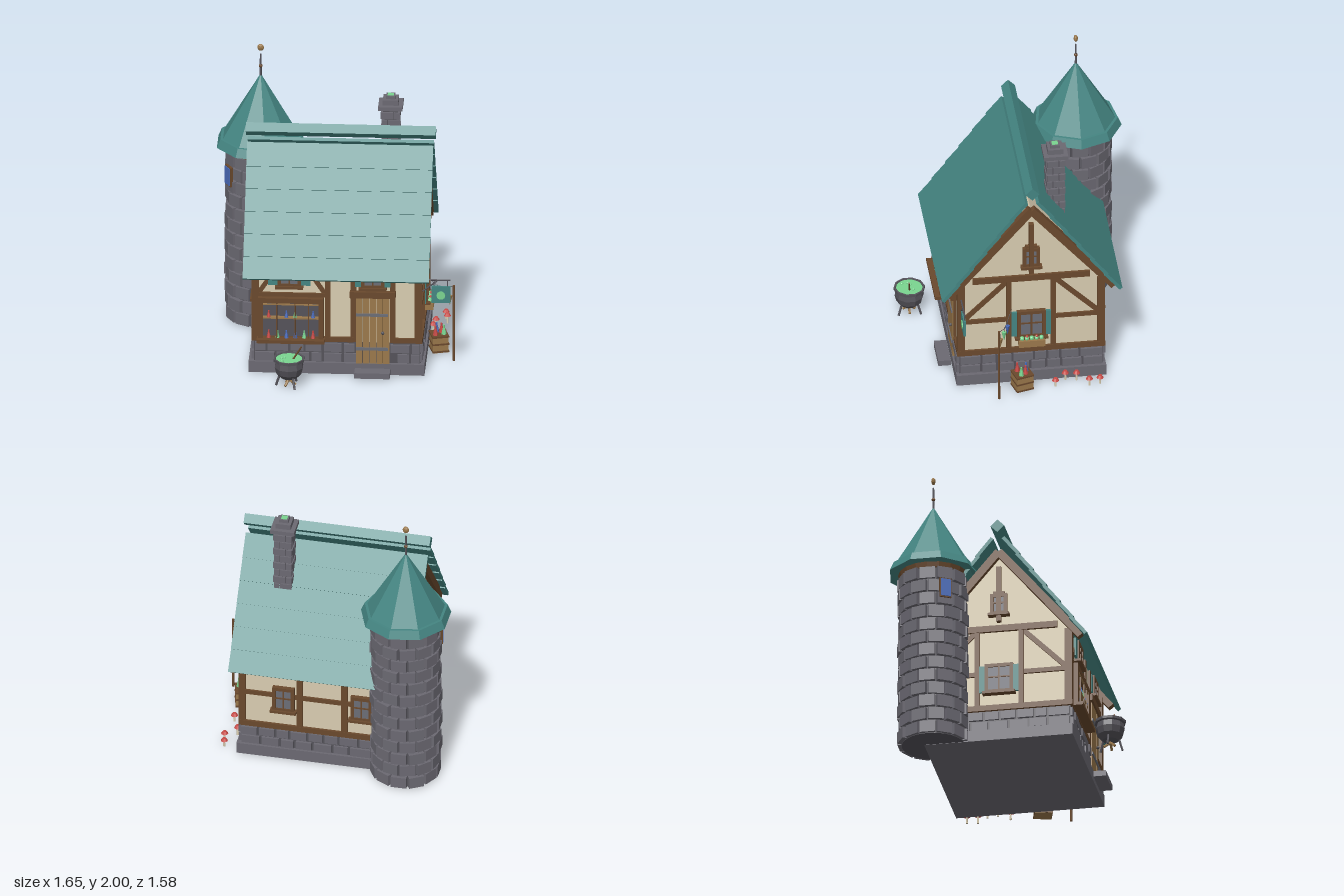
import * as THREE from 'three';

const mat = (name, color) => { const m = new THREE.MeshStandardMaterial({ color }); m.name = name; return m; };
const teal = mat('teal roof', 0x448582), timber = mat('dark timber', 0x6a492d), wood = mat('light wood', 0x9a784b),
  plaster = mat('cream plaster', 0xd8ccb0), stone = mat('stone', 0x6b6972), dark = mat('dark stone and iron', 0x545259),
  red = mat('red', 0xc84a46), green = mat('glowing green', 0x7ad490), blue = mat('blue glass', 0x4a6cbc), glass = mat('window glass', 0x6b6d76);

let seed = 7;
const rnd = () => (seed = (seed * 16807) % 2147483647) / 2147483647;

function add(parent, name, geo, m, x = 0, y = 0, z = 0) {
  const mesh = new THREE.Mesh(geo, m);
  mesh.name = name;
  mesh.position.set(x, y, z);
  parent.add(mesh);
  return mesh;
}
function group(parent, name, x = 0, y = 0, z = 0, ry = 0) {
  const g = new THREE.Group();
  g.name = name;
  g.position.set(x, y, z);
  g.rotation.y = ry;
  parent.add(g);
  return g;
}
function flat(geo) {
  const g = geo.index ? geo.toNonIndexed() : geo;
  g.computeVertexNormals();
  return g;
}
const box = (p, name, m, w, h, d, x, y, z) => add(p, name, new THREE.BoxGeometry(w, h, d), m, x, y, z);
const cyl = (p, name, m, rt, rb, h, n, x, y, z) =>
  add(p, name, flat(new THREE.CylinderGeometry(rt, rb, h, n, 1, false, Math.PI / 2)), m, x, y, z);
const ball = (p, name, m, r, x, y, z) => add(p, name, flat(new THREE.SphereGeometry(r, 8, 6)), m, x, y, z);

// thin rod between two points
function rod(p, name, m, a, b, r, n = 6) {
  const A = new THREE.Vector3(...a), B = new THREE.Vector3(...b), d = B.clone().sub(A);
  const mesh = cyl(p, name, m, r, r, d.length(), n, 0, 0, 0);
  mesh.position.copy(A).add(B).multiplyScalar(0.5);
  mesh.quaternion.setFromUnitVectors(new THREE.Vector3(0, 1, 0), d.normalize());
}
// flat timber lying on a wall, from (x1,y1) to (x2,y2)
function beam(p, x1, y1, x2, y2, w, d = 0.03, z = 0) {
  const dx = x2 - x1, dy = y2 - y1;
  box(p, 'beam', timber, Math.hypot(dx, dy), w, d, (x1 + x2) / 2, (y1 + y2) / 2, z).rotation.z = Math.atan2(dy, dx);
}
function bottle(p, m, x, y, z, s = 1) {
  cyl(p, 'bottleBody', m, 0.006 * s, 0.013 * s, 0.034 * s, 6, x, y + 0.017 * s, z);
  cyl(p, 'bottleNeck', m, 0.005 * s, 0.005 * s, 0.016 * s, 6, x, y + 0.041 * s, z);
}
function windowUnit(p, x, y0, w, h, shutter = 0) {
  const g = group(p, 'window', x, y0 + h / 2, 0.012);
  box(g, 'glass', glass, w - 0.03, h - 0.03, 0.012, 0, 0, 0.006);
  for (const s of [-1, 1]) {
    box(g, 'frameSide', timber, 0.024, h, 0.03, s * (w / 2 - 0.012), 0, 0.004);
    box(g, 'frameRail', timber, w, 0.024, 0.03, 0, s * (h / 2 - 0.012), 0.004);
    if (shutter) box(g, 'shutter', teal, shutter, h - 0.02, 0.016, s * (w + shutter) / 2, 0, 0);
  }
  box(g, 'muntin', timber, 0.01, h, 0.012, 0, 0, 0.012);
  box(g, 'muntin', timber, w, 0.01, 0.012, 0, 0.01, 0.012);
  box(g, 'sill', timber, w + 0.03, 0.018, 0.05, 0, -h / 2, 0.01);
}
// two courses of stone along one side, optionally leaving a gap
function foundationSide(p, x0, x1, gap) {
  for (let r = 0; r < 2; r++) {
    let x = x0;
    while (x < x1 - 0.02) {
      let w = Math.min(0.085 + rnd() * 0.07, x1 - x);
      if (x1 - x - w < 0.05) w = x1 - x;
      const c = x + w / 2;
      if (!gap || c < gap[0] || c > gap[1])
        box(p, 'foundationStone', stone, w - 0.016, 0.056 + rnd() * 0.006, 0.034 + rnd() * 0.018, c, 0.117 + r * 0.073, -0.005);
      x += w;
    }
  }
}
function gable(p, name, x, ry) {
  const g = group(p, name, x, 0, -0.0325, ry);
  for (const s of [-1, 1]) {
    beam(g, s * 0.476, 0.235, s * 0.476, 0.8, 0.052);
    beam(g, s * 0.152, 0.25, s * 0.152, 0.83, 0.036);
    beam(g, s * 0.165, 0.815, s * 0.46, 0.52, 0.034, 0.024);
    beam(g, 0, 1.402, s * 0.565, 0.735, 0.055, 0.045, 0.012);
  }
  beam(g, -0.5, 0.25, 0.5, 0.25, 0.04, 0.034);
  beam(g, -0.49, 0.505, 0.49, 0.505, 0.032, 0.028);
  beam(g, -0.4, 0.838, 0.4, 0.838, 0.045, 0.036);
  beam(g, 0, 0.885, 0, 1.29, 0.032, 0.044, 0.012);
  windowUnit(g, 0, 0.935, 0.115, 0.155);
  beam(g, -0.04, 1.095, 0.04, 1.095, 0.025, 0.034, 0.01);
  windowUnit(g, 0, 0.355, 0.195, 0.215, 0.038);
  foundationSide(g, -0.49, 0.49);
  return g;
}

export function createModel() {
  const model = new THREE.Group();
  model.name = 'cottageShop';

  // plinth, foundation and plaster walls
  box(model, 'plinth', stone, 1.19, 0.08, 1.02, 0.03, 0.04, -0.0325);
  box(model, 'foundationCore', dark, 1.125, 0.16, 0.975, 0.0325, 0.155, -0.0325);
  const wall = new THREE.Shape([[-0.4875, 0.23], [0.4875, 0.23], [0.4875, 0.785], [0, 1.38], [-0.4875, 0.785]].map(a => new THREE.Vector2(...a)));
  add(model, 'walls', new THREE.ExtrudeGeometry(wall, { depth: 1.125, bevelEnabled: false }), plaster, -0.53, 0, -0.0325).rotation.y = Math.PI / 2;

  // gable ends; the right one carries a flower box
  gable(model, 'leftGable', -0.53, -Math.PI / 2);
  const right = gable(model, 'rightGable', 0.595, Math.PI / 2);
  box(right, 'flowerBox', wood, 0.18, 0.05, 0.055, 0, 0.325, 0.04);
  for (let i = -2; i <= 2; i++) {
    ball(right, 'leaves', green, 0.017, i * 0.033, 0.357, 0.04);
    if (i % 2) ball(right, 'flower', red, 0.009, i * 0.033, 0.376, 0.045);
  }

  // front wall
  const front = group(model, 'frontWall', 0, 0, 0.455);
  for (const x of [-0.52, -0.03, 0.145, 0.41, 0.585]) beam(front, x, 0.235, x, 0.79, x < -0.5 || x > 0.5 ? 0.052 : 0.038);
  beam(front, -0.545, 0.25, 0.145, 0.25, 0.034, 0.034);
  beam(front, 0.41, 0.25, 0.61, 0.25, 0.034, 0.034);
  beam(front, -0.5, 0.572, -0.03, 0.572, 0.028);
  beam(front, -0.495, 0.585, -0.4, 0.73, 0.03, 0.024);
  beam(front, -0.05, 0.585, -0.145, 0.73, 0.03, 0.024);
  windowUnit(front, -0.29, 0.635, 0.16, 0.15, 0.065);
  windowUnit(front, 0.275, 0.635, 0.16, 0.15, 0.04);
  foundationSide(front, -0.53, 0.6, [0.15, 0.4]);

  // plank door with straps
  const door = group(front, 'door', 0.275, 0, 0);
  for (let i = -2; i <= 2; i++) box(door, 'doorPlank', wood, 0.042, 0.495, 0.03, i * 0.046, 0.32, 0.005);
  for (const y of [0.19, 0.44]) box(door, 'strap', glass, 0.215, 0.02, 0.008, -0.005, y, 0.024);
  ball(door, 'knob', dark, 0.011, 0.068, 0.31, 0.028);
  box(door, 'lintel', timber, 0.31, 0.045, 0.05, 0, 0.588, 0.008);
  box(door, 'doorstep', stone, 0.24, 0.04, 0.085, 0, 0.03, 0.075);

  // display window full of bottles
  const shop = group(front, 'displayWindow', -0.278, 0, 0);
  box(shop, 'displayBack', dark, 0.4, 0.28, 0.01, 0, 0.395, 0.006);
  for (const s of [-1, 1]) box(shop, 'displaySide', timber, 0.034, 0.3, 0.05, s * 0.205, 0.405, 0.022);
  box(shop, 'displayTop', timber, 0.444, 0.036, 0.05, 0, 0.54, 0.022);
  box(shop, 'displaySill', timber, 0.46, 0.024, 0.085, 0, 0.252, 0.04);
  box(shop, 'shelf', wood, 0.376, 0.01, 0.035, 0, 0.41, 0.024);
  box(shop, 'rail', wood, 0.376, 0.008, 0.01, 0, 0.512, 0.04);
  for (const x of [-0.095, 0.03, 0.12]) box(shop, 'glazingBar', timber, 0.007, 0.26, 0.01, x, 0.395, 0.04);
  [red, blue, green, blue].forEach((m, i) => bottle(shop, m, [-0.15, -0.03, 0.028, 0.15][i], 0.415, 0.032));
  [red, green, blue, blue, green, red].forEach((m, i) => bottle(shop, m, -0.15 + i * 0.06, 0.264, 0.032, 1.1));

  // back wall
  const back = group(model, 'backWall', 0, 0, -0.52, Math.PI);
  for (const x of [-0.585, -0.19, 0.12, 0.52]) beam(back, x, 0.235, x, 0.79, 0.042);
  beam(back, -0.61, 0.25, 0.545, 0.25, 0.04, 0.034);
  beam(back, -0.6, 0.505, 0.54, 0.505, 0.032, 0.028);
  windowUnit(back, -0.3, 0.39, 0.15, 0.19);
  windowUnit(back, 0.24, 0.39, 0.15, 0.19);
  foundationSide(back, -0.6, 0.53);

  // overlapping roof courses and ridge
  const roof = group(model, 'roof', 0.03, 0, -0.0325);
  for (const s of [-1, 1]) for (let i = 0; i < 6; i++) {
    const t = (i + 0.5) / 6;
    box(roof, 'roofCourse', teal, 1.26, 0.17, 0.024, 0, 1.485 - t * 0.755, s * (0.045 + t * 0.553)).rotation.x = -s * 0.685;
  }
  box(roof, 'ridge', teal, 1.285, 0.067, 0.067, 0.003, 1.572, 0).rotation.x = Math.PI / 4;

  // chimney
  const chimney = group(model, 'chimney', 0.36, 0, -0.225);
  box(chimney, 'chimneyCore', dark, 0.1, 0.46, 0.1, 0, 1.43, 0);
  for (let r = 0; r < 8; r++) for (let k = 0; k < 4; k++) {
    const side = group(chimney, 'chimneySide', 0, 1.23 + r * 0.057, 0, k * Math.PI / 2), o = r % 2 ? 0.02 : -0.02, d = r % 2 ? 0.056 : 0.051;
    box(side, 'chimneyStone', stone, 0.057 + o, 0.048, 0.02, -0.031 + o / 2, 0, d);
    box(side, 'chimneyStone', stone, 0.057 - o, 0.048, 0.02, 0.031 + o / 2, 0, d);
  }
  box(chimney, 'chimneyCap', stone, 0.165, 0.028, 0.165, 0, 1.688, 0);
  box(chimney, 'chimneyCollar', stone, 0.105, 0.04, 0.105, 0, 1.72, 0);
  box(chimney, 'chimneyPot', stone, 0.062, 0.03, 0.062, 0, 1.747, 0);
  box(chimney, 'chimneyGlow', green, 0.042, 0.004, 0.042, 0, 1.763, 0);

  // round tower with stone courses, pointed roof and finial
  const tower = group(model, 'tower', -0.535, 0, -0.485);
  cyl(tower, 'towerCore', dark, 0.214, 0.214, 1.24, 24, 0, 0.622, 0);
  for (let r = 0; r < 13; r++) for (let i = 0; i < 12; i++) {
    const a = (i + (r % 2) / 2) * Math.PI / 6, R = 0.205 + rnd() * 0.012;
    box(tower, 'towerStone', stone, 0.106, 0.082, 0.05, R * Math.sin(a), 0.047 + r * 0.0955, R * Math.cos(a)).rotation.y = a;
  }
  cyl(tower, 'towerRing', timber, 0.24, 0.23, 0.04, 18, 0, 1.255, 0);
  cyl(tower, 'towerEave', teal, 0.285, 0.31, 0.06, 9, 0, 1.3, 0);
  cyl(tower, 'towerRoof', teal, 0.004, 0.275, 0.46, 9, 0, 1.545, 0);
  cyl(tower, 'spike', dark, 0.006, 0.008, 0.17, 6, 0, 1.84, 0);
  ball(tower, 'spikeBead', timber, 0.013, 0, 1.838, 0);
  ball(tower, 'finial', wood, 0.025, 0, 1.974, 0).scale.set(0.9, 1, 0.6);
  const slit = group(tower, 'towerWindow', -0.208, 1.075, 0.12, -Math.PI / 3);
  box(slit, 'slitFrame', timber, 0.085, 0.14, 0.02, 0, 0, 0);
  box(slit, 'slitGlass', blue, 0.07, 0.125, 0.008, 0, 0, 0.012);

  // hanging sign
  const sign = group(model, 'hangingSign', 0, 0, 0.445);
  rod(sign, 'bracket', dark, [0.6, 0.695, 0], [0.8, 0.695, 0], 0.006);
  rod(sign, 'brace', dark, [0.61, 0.61, 0], [0.71, 0.69, 0], 0.005);
  for (const x of [0.69, 0.78]) rod(sign, 'hanger', dark, [x, 0.645, 0], [x, 0.695, 0], 0.003);
  box(sign, 'signBoard', teal, 0.13, 0.12, 0.016, 0.735, 0.59, 0);
  cyl(sign, 'signDisc', green, 0.03, 0.03, 0.026, 10, 0.735, 0.585, 0).rotation.x = Math.PI / 2;

  // post with a string of pennants
  const bunting = group(model, 'bunting');
  cyl(bunting, 'post', timber, 0.008, 0.009, 0.555, 6, 0.81, 0.278, 0.213);
  rod(bunting, 'string', dark, [0.81, 0.55, 0.213], [0.72, 0.512, 0.163], 0.002);
  rod(bunting, 'string', dark, [0.72, 0.512, 0.163], [0.6, 0.58, 0.1], 0.002);
  [[0.67, 0.5, 0.137, blue], [0.727, 0.49, 0.168, green], [0.782, 0.475, 0.2, wood]].forEach(([x, y, z, m]) => {
    cyl(bunting, 'pennant', m, 0.018, 0.001, 0.068, 4, x, y - 0.034, z);
    rod(bunting, 'cord', dark, [x, y, z], [x, y + 0.04, z], 0.002);
  });

  // crate of bottles
  const crate = group(model, 'crate', 0.7, 0, 0.04, 0.27);
  box(crate, 'crateBody', wood, 0.108, 0.118, 0.118, 0, 0.062, 0);
  for (const y of [0.012, 0.065, 0.118]) box(crate, 'crateBand', timber, 0.115, 0.012, 0.125, 0, y, 0);
  [[red, -0.03, 0.025], [blue, -0.01, -0.03], [green, 0.03, 0.02], [red, 0.02, -0.015]].forEach(([m, x, z]) => bottle(crate, m, x, 0.122, z, 1.4));

  // mushrooms
  for (const [x, z, h] of [[0.715, -0.185, 0.05], [0.645, -0.26, 0.055], [0.66, -0.335, 0.06], [0.733, -0.413, 0.055], [0.72, -0.487, 0.05]]) {
    const m = group(model, 'mushroom', x, 0, z);
    cyl(m, 'stem', plaster, 0.006, 0.008, h, 6, 0, h / 2, 0);
    cyl(m, 'cap', red, 0.012, 0.025, 0.02, 8, 0, h + 0.008, 0);
  }

  // cauldron over a small fire
  const pot = group(model, 'cauldron', -0.28, 0, 0.683);
  const profile = [[0, 0.055], [0.055, 0.06], [0.088, 0.095], [0.1, 0.14], [0.092, 0.18], [0.107, 0.185], [0.107, 0.203], [0.094, 0.203], [0.09, 0.185]];
  add(pot, 'bowl', flat(new THREE.LatheGeometry(profile.map(p => new THREE.Vector2(...p)), 10)), dark);
  cyl(pot, 'brew', green, 0.094, 0.094, 0.008, 10, 0, 0.193, 0);
  for (const [x, z] of [[-0.045, 0.045], [-0.03, -0.01], [-0.05, 0.005], [0.03, -0.025]]) ball(pot, 'bubble', green, 0.011, x, 0.198, z);
  rod(pot, 'stirringStick', timber, [0.02, 0.18, 0], [0.085, 0.29, 0.012], 0.006);
  for (let i = 0; i < 3; i++) {
    const a = i * 2.094 + 0.5, s = Math.sin(a), c = Math.cos(a), b = a + 1;
    rod(pot, 'leg', dark, [s * 0.06, 0.085, c * 0.06], [s * 0.088, 0, c * 0.088], 0.008);
    rod(pot, 'firewood', wood, [Math.sin(b) * 0.045, 0.008, Math.cos(b) * 0.045], [0, 0.045, 0], 0.009);
  }
  return model;
}
